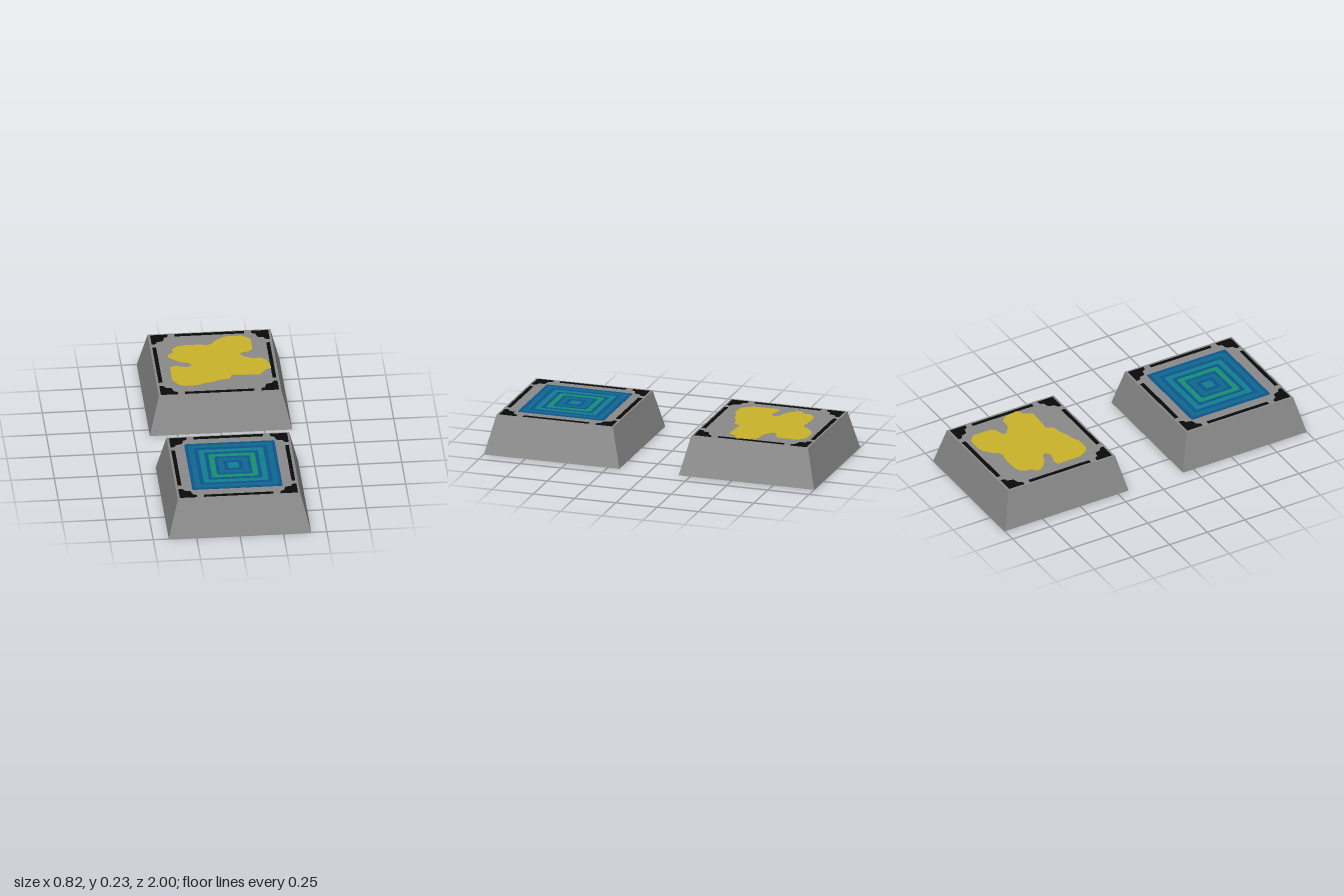
import * as THREE from 'three';

const HEIGHT = 0.228, BASE = 0.41, TOP = 0.353, THICK = 0.004;

const mat = (name, color, side = THREE.FrontSide) => {
  const m = new THREE.MeshStandardMaterial({ color, side });
  m.name = name;
  return m;
};

function shapeOf(points) {
  return new THREE.Shape(points.map(([x, z]) => new THREE.Vector2(x, z)));
}

const rectPoints = (x0, z0, x1, z1) => [[x0, z0], [x1, z0], [x1, z1], [x0, z1]];

// Square with rounded corners, used for the nested rings
function roundedSquare(half, r, Type = THREE.Shape) {
  const s = new Type();
  s.moveTo(-half + r, -half);
  s.lineTo(half - r, -half);
  s.quadraticCurveTo(half, -half, half, -half + r);
  s.lineTo(half, half - r);
  s.quadraticCurveTo(half, half, half - r, half);
  s.lineTo(-half + r, half);
  s.quadraticCurveTo(-half, half, -half, half - r);
  s.lineTo(-half, -half + r);
  s.quadraticCurveTo(-half, -half, -half + r, -half);
  return s;
}

// Thin inlay that shows on both faces of the top panel
function inlay(name, shapes, material) {
  const g = new THREE.ExtrudeGeometry(shapes, { depth: THICK, bevelEnabled: false, curveSegments: 4 });
  g.rotateX(Math.PI / 2).translate(0, HEIGHT + THICK / 2, 0);
  const mesh = new THREE.Mesh(g, material);
  mesh.name = name;
  return mesh;
}

// Hollow sloped block, open below, with a black border on its top
function makeBlock(name, z, grey, black) {
  const block = new THREE.Group();
  block.name = name;
  block.position.z = z;

  const wallGeometry = new THREE.CylinderGeometry(TOP * Math.SQRT2, BASE * Math.SQRT2, HEIGHT, 4, 1, true, Math.PI / 4)
    .toNonIndexed();
  wallGeometry.computeVertexNormals();
  const walls = new THREE.Mesh(wallGeometry.translate(0, HEIGHT / 2, 0), grey);
  walls.name = 'slopedWalls';

  const panel = new THREE.Mesh(
    new THREE.PlaneGeometry(2 * TOP, 2 * TOP).rotateX(-Math.PI / 2).translate(0, HEIGHT, 0), grey);
  panel.name = 'topPanel';

  // Stepped corner marks, mirrored to all four corners
  const corner = [[0.34, 0.34], [0.24, 0.34], [0.24, 0.322], [0.252, 0.31], [0.262, 0.31], [0.272, 0.272],
    [0.31, 0.262], [0.31, 0.252], [0.322, 0.24], [0.34, 0.24]];
  const corners = [];
  for (const sx of [-1, 1]) for (const sz of [-1, 1]) {
    corners.push(shapeOf(corner.map(([x, zz]) => [x * sx, zz * sz])));
  }

  // Bars along the four edges
  const bars = [
    rectPoints(-0.2, -0.342, 0.2, -0.318), rectPoints(-0.2, 0.318, 0.2, 0.34),
    rectPoints(-0.34, -0.2, -0.318, 0.2), rectPoints(0.316, -0.2, 0.337, 0.2),
  ].map(shapeOf);

  block.add(walls, panel, inlay('cornerMarks', corners, black), inlay('edgeBars', bars, black));
  return block;
}

// Outline of the splash in hundredths: x, z pairs
const SPLASH = [
  -26, -8, -26, -11, -23, -13, -23, -17, -20, -20, -16, -21, -6, -21, -3, -20, 0, -21, 2, -24, 7, -28,
  10, -29, 18, -29, 21, -27, 23, -25, 23, -13, 21, -11, 17, -10, 15, -8, 18, -5, 22, -3, 27, -3,
  30, 0, 31, 4, 32, 9, 28, 11, 25, 16, 9, 15, 7, 19, 1, 20, -3, 22, -8, 23, -12, 25, -20, 25,
  -23, 23, -26, 18, -26, 3, -23, 2, -16, 4, -13, 2, -15, -1, -19, -2, -22, -4,
];

export function createModel() {
  const grey = mat('grey', 0x8a8a8a, THREE.DoubleSide);
  const black = mat('black', 0x0a0a0a);
  const yellow = mat('yellow', 0xcab32a);
  const blue = mat('blue', 0x0d5590);
  const seaBlue = mat('seaBlue', 0x0e6a8e);
  const teal = mat('teal', 0x117f8e);
  const green = mat('green', 0x149070);

  const model = new THREE.Group();
  model.name = 'padPair';

  // Rear block with the yellow splash
  const rear = makeBlock('rearBlock', -0.59, grey, black);
  const points = [];
  for (let i = 0; i < SPLASH.length; i += 2) points.push([SPLASH[i] / 100, SPLASH[i + 1] / 100]);
  rear.add(inlay('splash', shapeOf(points), yellow));

  // Front block with nested square rings, from the outside in
  const front = makeBlock('frontBlock', 0.59, grey, black);
  const rings = [
    [0.26, blue], [0.24, seaBlue], [0.21, blue], [0.187, teal], [0.155, blue], [0.134, green],
    [0.102, blue], [0.085, seaBlue], [0.055, blue], [0.032, teal],
  ];
  rings.forEach(([half, material], i) => {
    const shape = roundedSquare(half, 0.012);
    if (i + 1 < rings.length) shape.holes.push(roundedSquare(rings[i + 1][0], 0.012, THREE.Path));
    const ring = inlay('squareRing' + (i + 1), shape, material);
    ring.position.z = -0.004;
    front.add(ring);
  });

  model.add(rear, front);
  return model;
}
